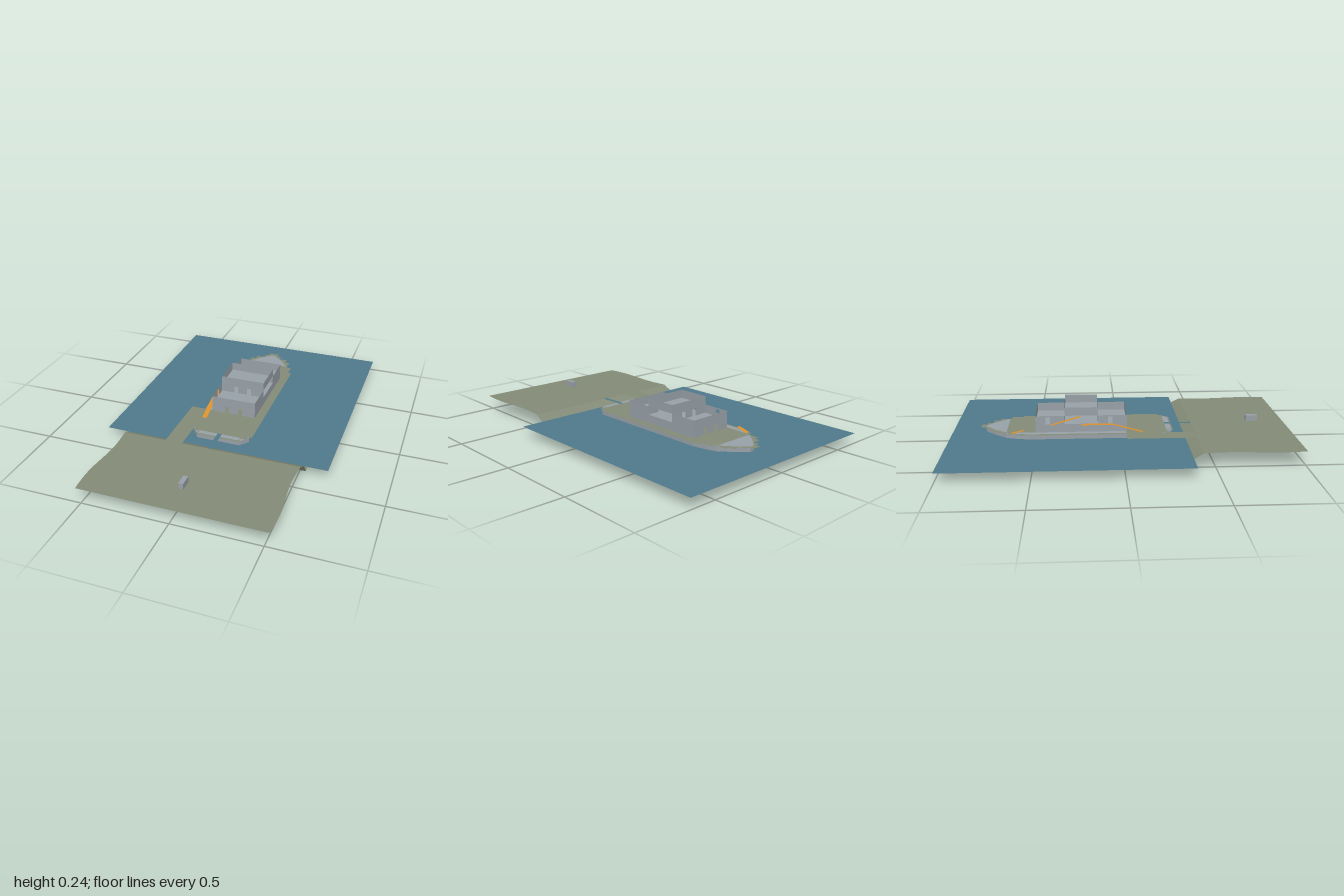
import * as THREE from 'three';

const mat = (name, color) => Object.assign(
  new THREE.MeshStandardMaterial({ color, side: THREE.DoubleSide }), { name });

export function createModel() {
  const model = new THREE.Group();
  const water = mat('water blue', 0x50798a);
  const land = mat('olive ground', 0x838b77);
  const steel = mat('hull grey', 0x98a1a8);
  const orange = mat('ramp orange', 0xd9902f);

  const add = (name, geometry, material, parent = model) => {
    const mesh = new THREE.Mesh(geometry, material);
    mesh.name = name;
    parent.add(mesh);
    return mesh;
  };

  // Outline of [x, z] points -> shape that lies flat after rotation
  const outline = pts => new THREE.Shape(pts.map(([x, z]) => new THREE.Vector2(x, -z)));
  const flat = (name, pts, y, material, parent) =>
    add(name, new THREE.ShapeGeometry(outline(pts)).rotateX(-Math.PI / 2).translate(0, y, 0), material, parent);
  const rect = (x0, x1, z0, z1) => [[x0, z0], [x0, z1], [x1, z1], [x1, z0]];
  const mirrored = pts => [...pts, ...pts.map(([x, z]) => [-x, z]).reverse()];

  // Rectangular wall in u/y with rectangular openings [u0, u1, y0, y1]
  function wallGeometry(u0, u1, y0, y1, openings = []) {
    const us = [u0, u1, ...openings.flatMap(o => [o[0], o[1]])].sort((a, b) => a - b);
    const ys = [y0, y1, ...openings.flatMap(o => [o[2], o[3]])].sort((a, b) => a - b);
    const pos = [];
    for (let i = 0; i + 1 < us.length; i++) for (let j = 0; j + 1 < ys.length; j++) {
      const [a, b, c, d] = [us[i], us[i + 1], ys[j], ys[j + 1]];
      const u = (a + b) / 2, y = (c + d) / 2;
      if (b - a < 1e-6 || d - c < 1e-6) continue;
      if (openings.some(o => u > o[0] && u < o[1] && y > o[2] && y < o[3])) continue;
      pos.push(a, c, 0, b, c, 0, b, d, 0, a, c, 0, b, d, 0, a, d, 0);
    }
    const g = new THREE.BufferGeometry();
    g.setAttribute('position', new THREE.Float32BufferAttribute(pos, 3));
    g.computeVertexNormals();
    return g;
  }
  const crossWall = (name, z, y0, y1, openings, parent) =>
    add(name, wallGeometry(-0.135, 0.135, y0, y1, openings).translate(0, 0, z), steel, parent);
  const sideWall = (name, x, z0, z1, y0, y1, openings, parent) =>
    add(name, wallGeometry(z0, z1, y0, y1, openings).rotateY(-Math.PI / 2).translate(x, 0, 0), steel, parent);

  // Sheet with wavy side edges, swept through [z, y, ripple] rows
  function wavySheet(rows, columns = 32) {
    const pos = [], index = [];
    rows.forEach(([z, y, ripple], r) => {
      const half = 0.524 + 0.01 * Math.sin((z - 0.72) * 2 * Math.PI / 0.55);
      for (let c = 0; c <= columns; c++) {
        const x = half * (2 * c / columns - 1);
        pos.push(x, y - ripple * Math.cos((x + 0.15) * 2 * Math.PI / 0.6), z);
        if (r && c) {
          const d = r * (columns + 1) + c, b = d - columns - 1;
          index.push(b - 1, d - 1, d, b - 1, d, b);
        }
      }
    });
    const g = new THREE.BufferGeometry();
    g.setAttribute('position', new THREE.Float32BufferAttribute(pos, 3));
    g.setIndex(index);
    g.computeVertexNormals();
    return g;
  }
  const steps = (z0, z1, n, y, ripple) =>
    Array.from({ length: n + 1 }, (_, i) => [z0 + (z1 - z0) * i / n, y, ripple]);

  // Terrain: sea floor, underwater bank, beach, shore
  add('seaFloor', wavySheet(steps(-0.87, 0.337, 24, 0.005, 0.005)), land);
  add('bank', wavySheet([[0.337, 0.005, 0.005], [0.376, 0.06, 0]]), land);
  add('beach', wavySheet([[0.376, 0.06, 0], [0.43, 0.09, 0]]), land);
  add('shore', wavySheet(steps(0.43, 1, 14, 0.09, 0)), land);
  flat('waterSurface', rect(-0.665, 0.665, -1, 0.376), 0.06, water);
  flat('dock', rect(-0.27, -0.168, 0.03, 0.43), 0.0895, land);

  // Gangway and shore marker
  flat('gangway', rect(-0.013, 0.013, 0.27, 0.43), 0.092, water);
  add('marker', new THREE.BoxGeometry(0.027, 0.035, 0.07).translate(0, 0.118, 0.803), steel);

  // Hull with tapering bow
  const ship = new THREE.Group();
  ship.name = 'ship';
  model.add(ship);
  const hullHalf = [[0.012, -0.80], [0.075, -0.74], [0.135, -0.67], [0.155, -0.61],
    [0.17, -0.53], [0.17, 0.25], [0.13, 0.30]];
  add('hull', new THREE.ExtrudeGeometry(outline(mirrored(hullHalf)), { depth: 0.078, bevelEnabled: false })
    .rotateX(-Math.PI / 2).translate(0, 0.01, 0), steel, ship);

  // Stepped deck edge and bare steel areas
  const deckHalf = [[0.03, -0.83], [0.03, -0.8], [0.055, -0.8], [0.055, -0.765], [0.105, -0.765],
    [0.105, -0.73], [0.135, -0.73], [0.135, -0.66], [0.165, -0.66], [0.165, -0.59], [0.187, -0.59],
    [0.187, 0.245], [0.165, 0.245], [0.165, 0.275], [0.13, 0.275], [0.13, 0.31]];
  flat('deck', mirrored(deckHalf), 0.09, land, ship);
  flat('bowPlate', mirrored([[0.01, -0.8], [0.075, -0.74], [0.13, -0.67]]), 0.0915, steel, ship);
  flat('sideWalkway', [[-0.137, -0.65], [-0.155, -0.61], [-0.17, -0.54], [-0.17, 0.03], [-0.137, 0.03]],
    0.0915, steel, ship);
  flat('sternPlate', rect(-0.125, 0.125, 0.27, 0.3), 0.0915, steel, ship);

  // Superstructure: open-topped rooms on three levels
  const house = new THREE.Group();
  house.name = 'superstructure';
  ship.add(house);
  const doors = y => [-0.042, 0.042].map(x => [x - 0.013, x + 0.013, y, y + 0.042]);
  crossWall('frontWall', 0.035, 0.09, 0.19, doors(0.09), house);
  crossWall('rearWall', -0.5, 0.09, 0.19, doors(0.09), house);
  for (const z of [-0.135, -0.33])
    crossWall('bridgeWall', z, 0.09, 0.24, doors(0.14), house);
  for (const x of [-0.135, 0.135]) {
    const sideDoors = x < 0 ? [[-0.075, -0.05, 0.14, 0.182], [-0.44, -0.415, 0.14, 0.182]] : [];
    sideWall('sideWall', x, -0.5, 0.035, 0.09, 0.19, [[-0.33, -0.135, 0.14, 0.19], ...sideDoors], house);
    sideWall('bridgeSide', x, -0.33, -0.135, 0.19, 0.24, [], house);
  }
  flat('middleFloor', rect(-0.135, 0.135, -0.5, 0.035), 0.14, steel, house);
  flat('bridgeFloor', rect(-0.135, 0.135, -0.33, -0.135), 0.19, steel, house);

  // Boarding ramps along the side: [z0, y0] to [z1, y1]
  const ramps = [
    ['lowerRamp', 0.13, 0.09, -0.05, 0.14],
    ['landing', -0.05, 0.14, -0.235, 0.14],
    ['upperRamp', -0.235, 0.19, -0.41, 0.14],
    ['bowRamp', -0.57, 0.11, -0.64, 0.092],
  ];
  for (const [name, z0, y0, z1, y1] of ramps) {
    const g = new THREE.PlaneGeometry(0.028, Math.hypot(z1 - z0, y1 - y0)).rotateX(-Math.PI / 2)
      .rotateX(Math.atan2(y1 - y0, z0 - z1)).translate(-0.151, (y0 + y1) / 2, (z0 + z1) / 2);
    add(name, g, orange, ship);
  }
  return model;
}
